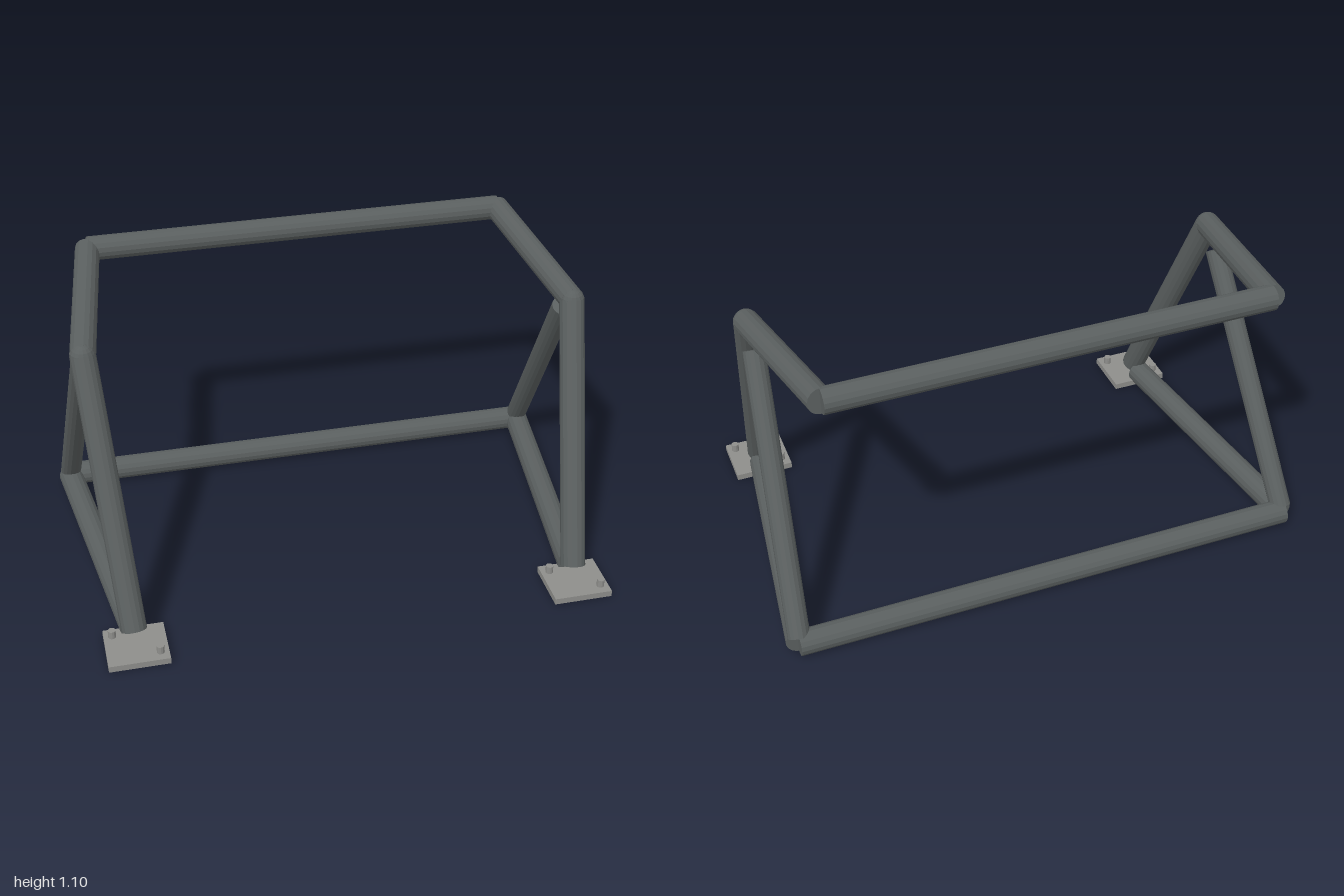
import * as THREE from 'three';

const steel = new THREE.MeshStandardMaterial({ color: 0x5a5f5f, flatShading: true });
steel.name = 'dark steel';
const plateGrey = new THREE.MeshStandardMaterial({ color: 0x8e8e8b, flatShading: true });
plateGrey.name = 'plate grey';

const TUBE = 0.046;

// Straight capped tube between two points
function tube(name, a, b, radius = TUBE) {
  const from = new THREE.Vector3(...a);
  const to = new THREE.Vector3(...b);
  const dir = to.clone().sub(from);
  const mesh = new THREE.Mesh(new THREE.CylinderGeometry(radius, radius, dir.length(), 16), steel);
  mesh.position.copy(from).add(to).multiplyScalar(0.5);
  mesh.quaternion.setFromUnitVectors(new THREE.Vector3(0, 1, 0), dir.normalize());
  mesh.name = name;
  return mesh;
}

export function createModel() {
  const group = new THREE.Group();
  group.name = 'tubeFrame';

  // Cross tubes at the back, low and high
  group.add(tube('lowerCrossTube', [-0.955, 0.053, -0.57], [0.955, 0.053, -0.57]));
  group.add(tube('upperCrossTube', [-0.803, 1.065, -0.555], [0.803, 1.065, -0.555]));

  for (const [side, s] of [['left', 1], ['right', -1]]) {
    const half = new THREE.Group();
    half.name = side + 'Side';
    const knee = [s * 0.89, 0.977, 0.08];

    // Leg, bent knee and upper arm
    half.add(tube('leg', [s * 0.823, 0.073, 0.483], knee));
    half.add(tube('upperArm', knee, [s * 0.803, 1.065, -0.555]));
    const joint = new THREE.Mesh(new THREE.SphereGeometry(TUBE, 16, 10), steel);
    joint.position.set(...knee);
    joint.name = 'kneeJoint';
    half.add(joint);

    // Floor rail and diagonal brace
    half.add(tube('floorRail', [s * 0.826, 0.053, 0.44], [s * 0.952, 0.053, -0.562]));
    half.add(tube('brace', [s * 0.89, 0.911, 0], [s * 0.95, 0.073, -0.56], 0.04));

    // Mounting plate with two bolts on one diagonal
    const plate = new THREE.Mesh(new THREE.BoxGeometry(0.22, 0.024, 0.2), plateGrey);
    plate.position.set(s * 0.822, 0.018, 0.514);
    plate.name = 'mountingPlate';
    half.add(plate);
    for (const [dx, z] of [[-0.079, 0.454], [0.079, 0.573]]) {
      const bolt = new THREE.Mesh(new THREE.CylinderGeometry(0.014, 0.014, 0.04, 12), plateGrey);
      bolt.position.set(s * 0.822 + dx, 0.04, z);
      bolt.name = 'bolt';
      half.add(bolt);
    }
    group.add(half);
  }
  return group;
}
